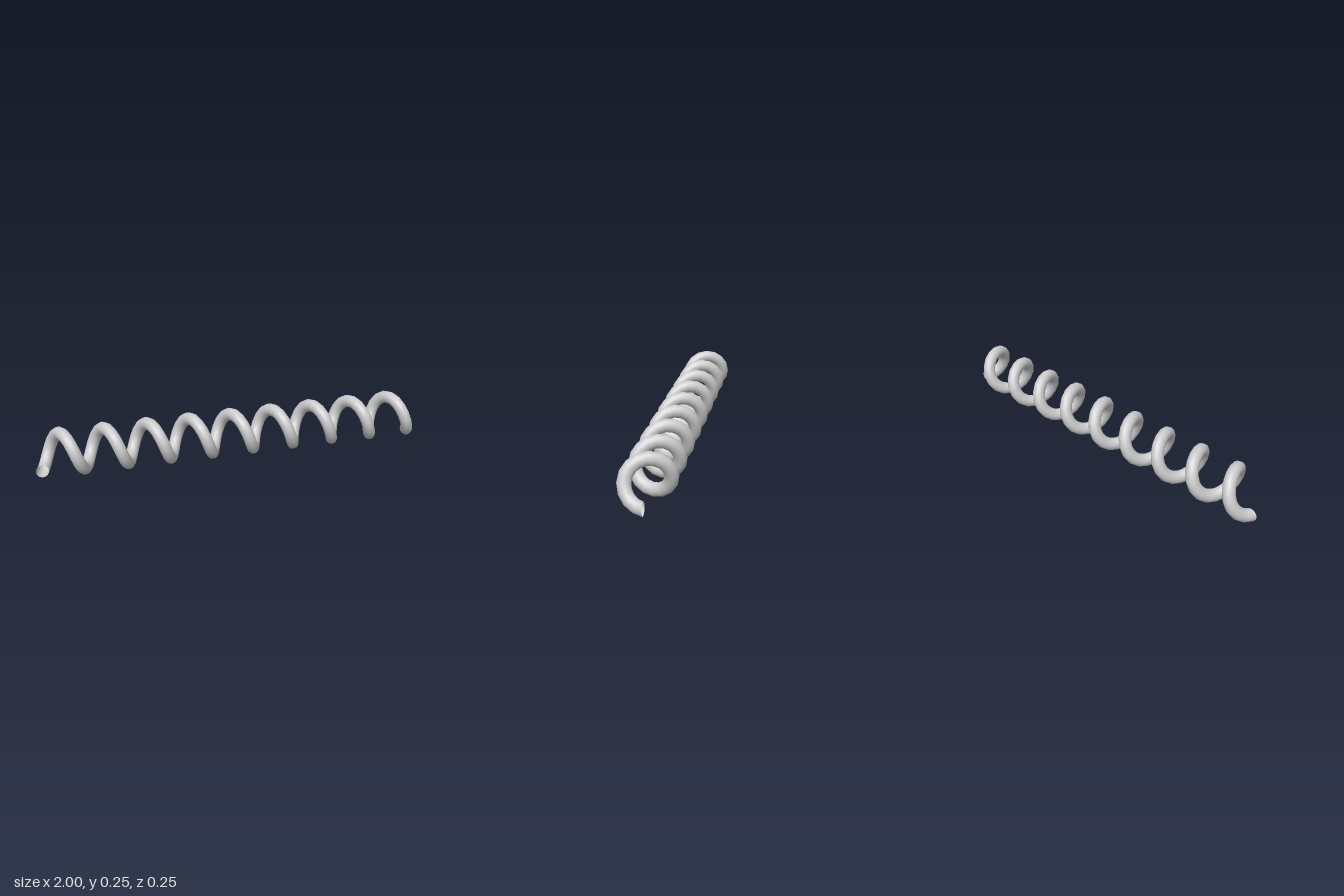
import * as THREE from 'three';
import { ParametricGeometry } from 'three/addons/geometries/ParametricGeometry.js';

const TURNS = 9, STEPS = 16, SIDES = 16;
const COIL_RADIUS = 0.092, WIRE_RADIUS = 0.032;
const HALF_LENGTH = 1 - WIRE_RADIUS;
const AXIS_Y = COIL_RADIUS + WIRE_RADIUS;

// A circle standing in the plane of the axis, screwed along x from bottom to bottom
function coilPoint(u, v, target) {
  const around = u * Math.PI * 2;
  const turn = v * TURNS * Math.PI * 2;
  const radius = COIL_RADIUS + WIRE_RADIUS * Math.sin(around);
  target.set(
    (2 * v - 1) * HALF_LENGTH + WIRE_RADIUS * Math.cos(around),
    AXIS_Y - radius * Math.cos(turn),
    -radius * Math.sin(turn)
  );
}

export function createModel() {
  const group = new THREE.Group();
  group.name = 'spring';

  // Coil with open ends
  const coil = new THREE.Mesh(
    new ParametricGeometry(coilPoint, SIDES, TURNS * STEPS),
    new THREE.MeshStandardMaterial({ color: 0xcccccc, side: THREE.DoubleSide })
  );
  coil.name = 'coil';
  group.add(coil);

  return group;
}
